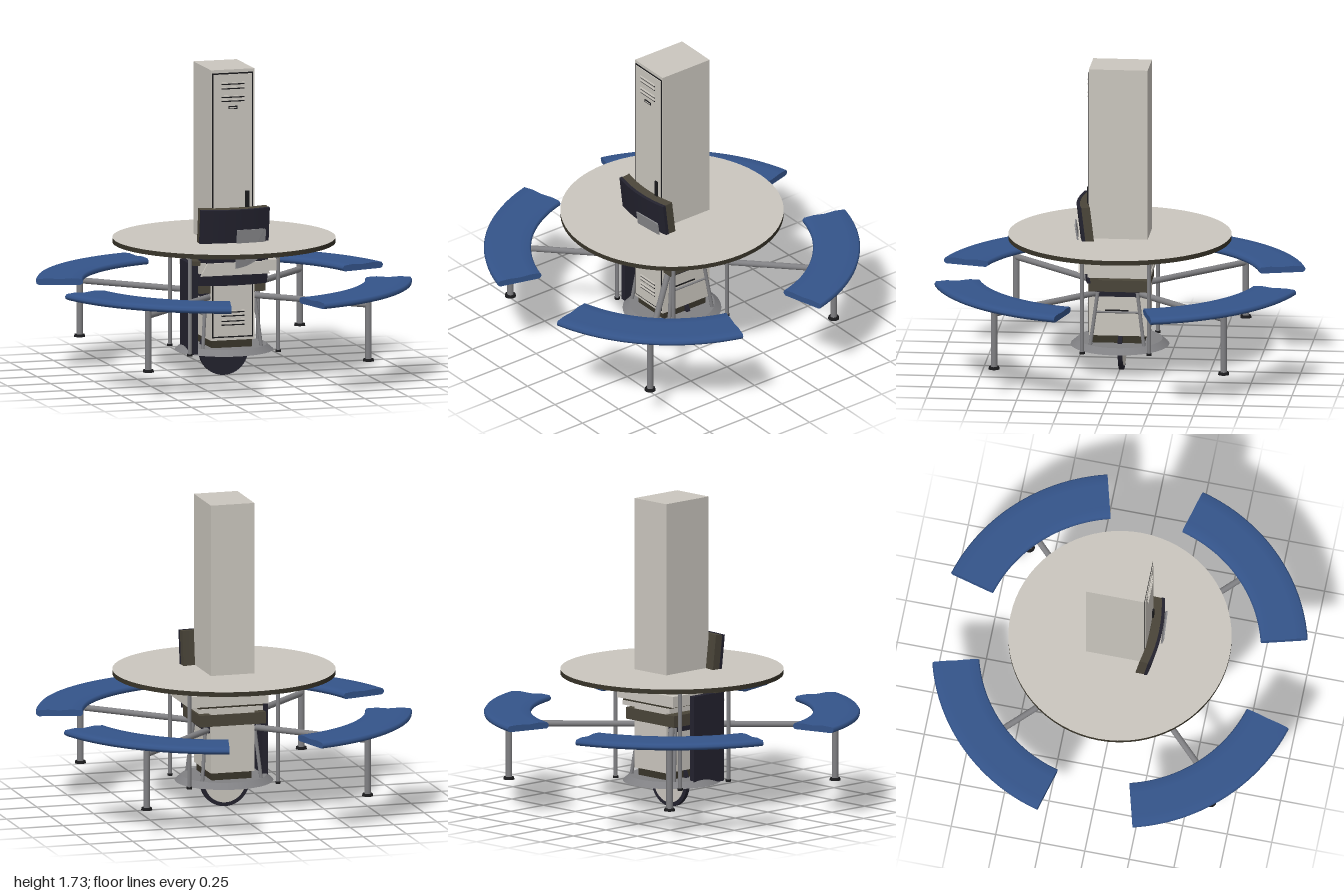
import * as THREE from 'three';

const mat = (name, color, side = THREE.FrontSide) => {
  const m = new THREE.MeshStandardMaterial({ color, side });
  m.name = name;
  return m;
};

export function createModel() {
  const root = new THREE.Group();
  const light = mat('warmGrey', 0xcac6be);
  const blue = mat('seatBlue', 0x34548a, THREE.DoubleSide);
  const steel = mat('steel', 0x808083);
  const navy = mat('darkNavy', 0x23222e);
  const olive = mat('oliveFabric', 0x4a4539);
  const edge = mat('darkEdge', 0x39352a);
  const black = mat('black', 0x1a1a1c);
  const plate = mat('greyPlate', 0x8a8a8d, THREE.DoubleSide);

  const add = (name, geo, material, x = 0, y = 0, z = 0, parent = root) => {
    const m = new THREE.Mesh(geo, material);
    m.name = name;
    m.position.set(x, y, z);
    parent.add(m);
    return m;
  };
  // box given by its limits
  const box = (name, material, x0, x1, y0, y1, z0, z1, parent = root) =>
    add(name, new THREE.BoxGeometry(x1 - x0, y1 - y0, z1 - z0), material,
      (x0 + x1) / 2, (y0 + y1) / 2, (z0 + z1) / 2, parent);
  // round bar between two points
  const bar = (name, a, b, r, material = steel, parent = root) => {
    const p = new THREE.Vector3(...a), q = new THREE.Vector3(...b);
    const m = add(name, new THREE.CylinderGeometry(r, r, p.distanceTo(q), 16), material, 0, 0, 0, parent);
    m.position.copy(p).add(q).multiplyScalar(0.5);
    m.quaternion.setFromUnitVectors(new THREE.Vector3(0, 1, 0), q.sub(p).normalize());
    return m;
  };

  // Locker with framed door, louvres, label and handle
  const locker = new THREE.Group();
  locker.name = 'locker';
  root.add(locker);
  box('lockerBody', light, -0.125, 0.125, 0.22, 1.73, -0.165, 0.16, locker);
  box('lockerPlinth', edge, -0.115, 0.115, 0.165, 0.22, -0.145, 0.145, locker);
  box('doorGap', black, -0.118, 0.118, 0.235, 1.712, 0.155, 0.162, locker);
  box('door', light, -0.111, 0.111, 0.243, 1.704, 0.157, 0.166, locker);
  for (const y of [1.65, 1.625, 1.577, 1.555, 0.378, 0.357, 0.328, 0.307]) {
    box('louvreSlot', black, -0.065, 0.065, y - 0.004, y + 0.003, 0.164, 0.169, locker);
    box('louvreHood', light, -0.065, 0.065, y + 0.003, y + 0.009, 0.164, 0.173, locker);
  }
  box('labelHolder', black, -0.026, 0.026, 1.51, 1.527, 0.164, 0.169, locker);
  box('labelCard', light, -0.02, 0.02, 1.514, 1.521, 0.167, 0.17, locker);
  box('handle', black, 0.07, 0.092, 0.95, 1.05, 0.164, 0.175, locker);
  for (const s of [-1, 1]) box('sideSlot', black, s * 0.126 - 0.002, s * 0.126 + 0.002, 0.36, 0.368, -0.06, 0.07, locker);

  // Round table top: pale upper face, dark edge and underside
  add('tableTop', new THREE.CylinderGeometry(0.615, 0.615, 0.026, 72), [edge, light, edge], 0, 0.757, 0);

  // Table under-frame
  for (const s of [-1, 1]) {
    box('frameRail', steel, -0.285, 0.285, 0.722, 0.743, s * 0.185 - 0.012, s * 0.185 + 0.012);
    box('frameSideRail', steel, s * 0.255 - 0.012, s * 0.255 + 0.012, 0.722, 0.743, -0.185, 0.185);
    for (const t of [-1, 1]) {
      bar('frameLeg', [s * 0.255, 0.15, t * 0.185], [s * 0.255, 0.73, t * 0.185], 0.011);
      add('frameFoot', new THREE.CylinderGeometry(0.015, 0.015, 0.012, 16), black, s * 0.255, 0.152, t * 0.185);
    }
  }

  // Curved benches with arm, post and foot
  const profile = [[0.79, 0.508], [1.02, 0.508], [1.033, 0.515], [1.036, 0.528], [1.027, 0.541],
    [0.97, 0.545], [0.905, 0.54], [0.84, 0.545], [0.785, 0.541], [0.776, 0.528], [0.779, 0.515], [0.79, 0.508]]
    .map(([x, y]) => new THREE.Vector2(x, y));
  const span = Math.PI / 3;
  const benchGeo = new THREE.LatheGeometry(profile, 32, Math.PI / 12, span);
  const capGeo = new THREE.ShapeGeometry(new THREE.Shape(profile));
  for (let i = 0; i < 4; i++) {
    const bench = new THREE.Group();
    bench.name = 'bench';
    bench.rotation.y = i * Math.PI / 2;
    root.add(bench);
    add('benchSeat', benchGeo, blue, 0, 0, 0, bench);
    for (const a of [Math.PI / 12, Math.PI / 12 + span])
      add('benchEnd', capGeo, blue, 0, 0, 0, bench).rotation.y = a - Math.PI / 2;
    bar('benchArm', [0.06, 0.46, 0.06], [0.635, 0.46, 0.635], 0.017, steel, bench);
    bar('benchPost', [0.635, 0.15, 0.635], [0.635, 0.51, 0.635], 0.018, steel, bench);
    add('benchFoot', new THREE.CylinderGeometry(0.028, 0.031, 0.014, 24), black, 0.635, 0.153, 0.635, bench);
  }

  // Base disc
  add('baseDisc', new THREE.CylinderGeometry(0.235, 0.272, 0.032, 48), steel, 0, 0.161, 0);

  // Wall dial: dark back and rim, pale face to the rear
  add('dialCase', new THREE.CylinderGeometry(0.14, 0.14, 0.024, 48), navy, 0, 0.14, -0.012).rotation.x = Math.PI / 2;
  add('dialFace', new THREE.CylinderGeometry(0.118, 0.118, 0.004, 48), light, 0, 0.14, -0.025).rotation.x = Math.PI / 2;

  // Chair: curved, tilted backrest with fabric pad and dark shell
  const curvedSlab = (w, h, d) => {
    const g = new THREE.BoxGeometry(w, h, d, 16, 1, 1);
    const p = g.attributes.position;
    for (let i = 0; i < p.count; i++) p.setZ(i, p.getZ(i) - 0.6 * p.getX(i) ** 2);
    g.computeVertexNormals();
    return g;
  };
  const back = new THREE.Group();
  back.name = 'chairBack';
  back.position.set(0, 0.745, 0.18);
  back.rotation.x = 0.12;
  root.add(back);
  add('backPad', curvedSlab(0.39, 0.425, 0.05), olive, 0, 0, -0.01, back);
  add('backShell', curvedSlab(0.396, 0.43, 0.018), navy, 0, 0, 0.022, back);
  box('seatPad', olive, -0.19, 0.19, 0.485, 0.55, -0.17, 0.155);
  box('seatShell', navy, -0.14, 0.14, 0.445, 0.485, -0.15, 0.13);
  for (const s of [-1, 1]) {
    for (const t of [-1, 1])
      bar('chairLeg', [s * 0.14, 0.47, t * 0.11], [s * 0.17, 0.16, t * 0.15], 0.01);
    bar('chairBrace', [s * 0.15, 0.36, -0.12], [s * 0.15, 0.36, 0.12], 0.006);
  }

  // Pale tray under the table with a sloping front lip
  const lip = new THREE.Shape([[-0.2, 0.59], [0.2, 0.59], [0.16, 0.66], [-0.16, 0.66]].map(p => new THREE.Vector2(...p)));
  add('trayLip', new THREE.ExtrudeGeometry(lip, { depth: 0.012, bevelEnabled: false }), light, 0, 0, 0.2);
  box('trayUpper', light, -0.2, 0.255, 0.6, 0.662, -0.185, 0.185);
  box('trayLower', light, -0.17, 0.2, 0.565, 0.59, -0.185, 0.16);
  box('trayGap', edge, -0.17, 0.2, 0.59, 0.6, -0.18, 0.18);

  // Dark upright panel beside the locker
  box('sidePanel', navy, -0.235, -0.203, 0.15, 0.65, -0.06, 0.17);
  box('sidePanelCap', olive, -0.24, -0.198, 0.65, 0.675, 0.1, 0.2);

  // Small curved grey plate in front of the backrest
  const s = new THREE.Shape();
  s.moveTo(0, 0.845);
  s.lineTo(0.155, 0.845);
  s.quadraticCurveTo(0.17, 0.845, 0.17, 0.83);
  s.lineTo(0.17, 0.73);
  s.quadraticCurveTo(0.13, 0.64, 0, 0.625);
  s.closePath();
  const pg = new THREE.ExtrudeGeometry(s, { depth: 0.008, bevelEnabled: false, curveSegments: 12 });
  const pp = pg.attributes.position;
  for (let i = 0; i < pp.count; i++)
    pp.setZ(i, pp.getZ(i) + 0.205 + (pp.getY(i) - 0.625) * 0.16 - 0.5 * pp.getX(i) ** 2);
  pg.computeVertexNormals();
  add('greyFlap', pg, plate);

  return root;
}
